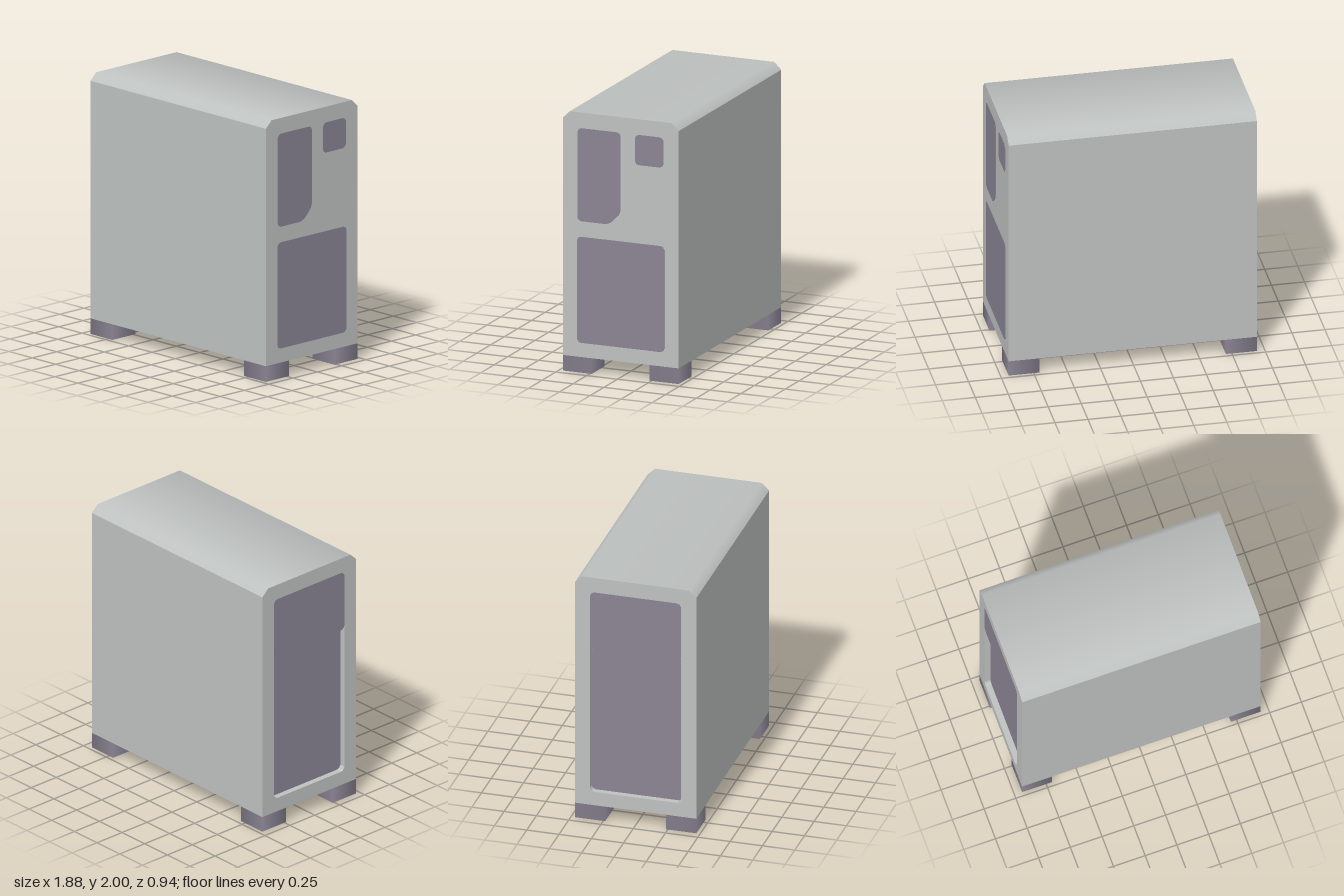
import * as THREE from 'three';

const shell = new THREE.MeshStandardMaterial({ color: 0xbec2c0 });
shell.name = 'light grey shell';
const dark = new THREE.MeshStandardMaterial({ color: 0x8a8493 });
dark.name = 'mauve grey trim';

const HALF_X = 0.94, HALF_Z = 0.47, RECESS = 0.05;

// Closed outline with every corner cut by c; points run counter-clockwise
function cutOutline(points, c, Kind = THREE.Shape) {
  const v = points.map(([x, y]) => new THREE.Vector2(x, y));
  const out = [];
  v.forEach((p, i) => {
    const prev = v[(i + v.length - 1) % v.length], next = v[(i + 1) % v.length];
    const a = prev.clone().sub(p).setLength(c).add(p);
    const b = next.clone().sub(p).setLength(c).add(p);
    const mid = a.clone().add(b).multiplyScalar(0.35).addScaledVector(p, 0.3);
    out.push(a, mid, b);
  });
  return new Kind(out);
}

const rect = (x0, x1, y0, y1) => [[x0, y0], [x1, y0], [x1, y1], [x0, y1]];

// Extrudes an end-on outline along x, from x0 to x1
function alongX(name, shape, x0, x1, material) {
  const g = new THREE.ExtrudeGeometry(shape, { depth: x1 - x0, bevelEnabled: false });
  g.rotateY(Math.PI / 2).translate(x0, 0, 0);
  const mesh = new THREE.Mesh(g, material);
  mesh.name = name;
  return mesh;
}

// Blends the shading across the roof and its two chamfers
function smoothRoof(mesh) {
  const p = mesh.geometry.attributes.position, n = mesh.geometry.attributes.normal;
  for (let i = 0; i < p.count; i++) {
    if (p.getY(i) < 1.9 || n.getY(i) < 0.5) continue;
    const angle = Math.sign(p.getZ(i)) * (p.getY(i) > 1.99 ? Math.PI / 8 : Math.PI / 4);
    n.setXYZ(i, 0, Math.cos(angle), Math.sin(angle));
  }
  return mesh;
}

const bodyOutline = () => new THREE.Shape([
  [-HALF_Z, 0.12], [HALF_Z, 0.12], [HALF_Z, 1.945],
  [0.413, 2], [-0.413, 2], [-HALF_Z, 1.945],
].map(([x, y]) => new THREE.Vector2(x, y)));

export function createModel() {
  const model = new THREE.Group();
  model.name = 'cabinet';

  // Main case and the open frame at its left-hand end
  model.add(smoothRoof(alongX('caseBody', bodyOutline(), -HALF_X + RECESS, HALF_X, shell)));
  const frame = bodyOutline();
  frame.holes.push(cutOutline(rect(-0.353, 0.353, 0.23, 1.88), 0.03, THREE.Path));
  model.add(smoothRoof(alongX('endFrame', frame, -HALF_X, -HALF_X + RECESS, shell)));

  // Flush upper panel above a recessed lower panel
  model.add(alongX('upperEndPanel', cutOutline(rect(-0.353, 0.353, 1.405, 1.88), 0.03),
    -HALF_X, -HALF_X + RECESS, dark));
  model.add(alongX('recessedEndPanel', cutOutline(rect(-0.353, 0.353, 0.23, 1.405), 0.03),
    -HALF_X + RECESS - 0.004, -HALF_X + RECESS, dark));

  // Three thin panels on the opposite end
  const panels = {
    tallPanel: [[-0.35, 1.165], [-0.095, 1.165], [0, 1.26], [0, 1.88], [-0.35, 1.88]],
    smallPanel: rect(0.115, 0.348, 1.648, 1.88),
    largePanel: rect(-0.354, 0.354, 0.23, 1.045),
  };
  for (const [name, points] of Object.entries(panels)) {
    model.add(alongX(name, cutOutline(points, 0.028), HALF_X, HALF_X + 0.003, dark));
  }

  // Square feet at the four corners, softly shaded around the sides
  const size = 0.235;
  const footGeometry = new THREE.CylinderGeometry(size / Math.SQRT2, size / Math.SQRT2, 0.12, 4);
  footGeometry.rotateY(Math.PI / 4);
  for (const sx of [-1, 1]) {
    for (const sz of [-1, 1]) {
      const foot = new THREE.Mesh(footGeometry, dark);
      foot.name = 'foot';
      foot.position.set(sx * (HALF_X - size / 2), 0.06, sz * (HALF_Z - size / 2));
      model.add(foot);
    }
  }
  return model;
}
